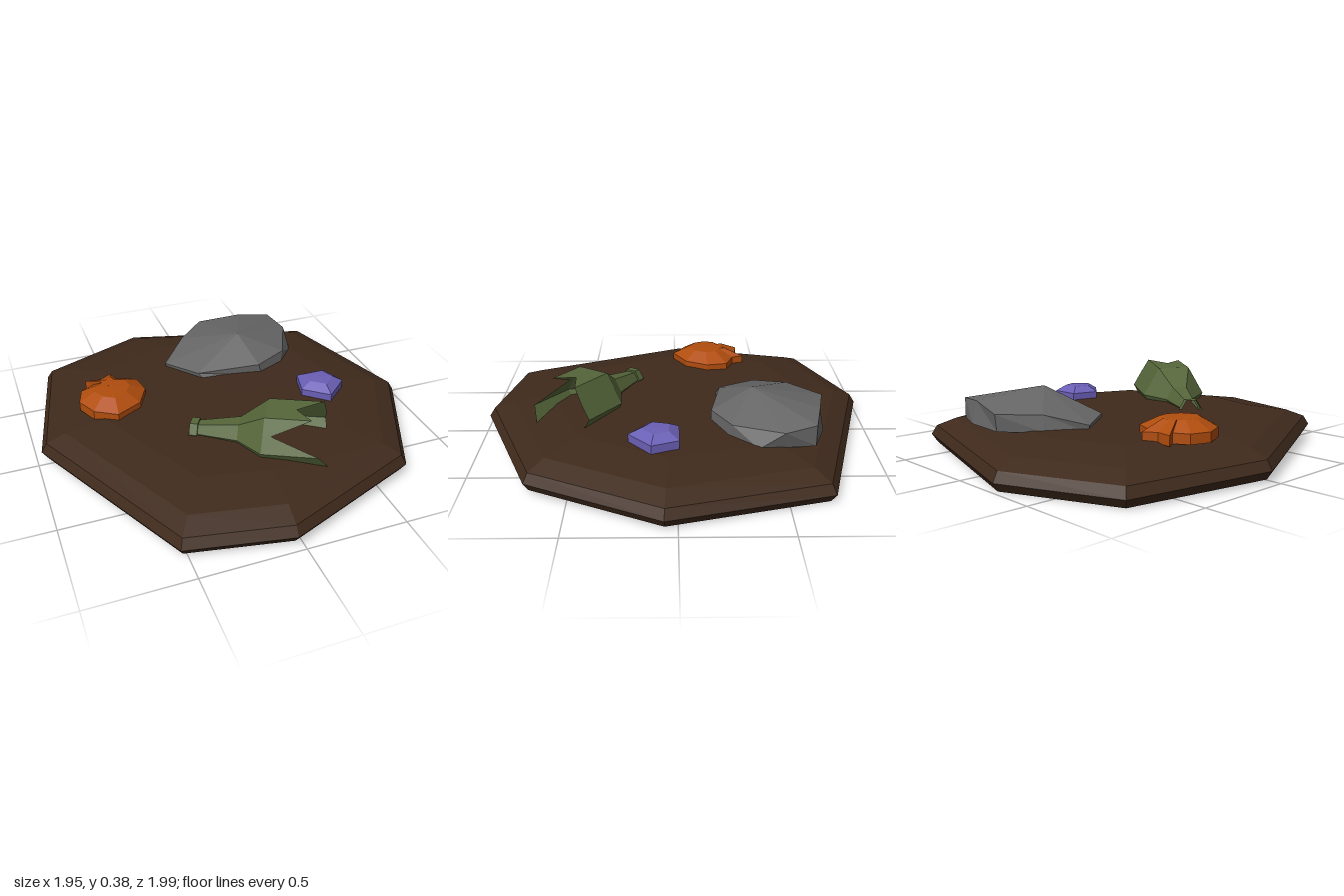
import * as THREE from 'three';

// Skin a stack of closed rings (lists of [x, y, z]), with an optional apex closing the last ring
function loft(name, color, rings, apex) {
  const n = rings[0].length;
  const points = rings.flat();
  const index = [];
  for (let r = 0; r < rings.length - 1; r++) {
    for (let i = 0; i < n; i++) {
      const j = (i + 1) % n;
      const a = r * n + i, b = r * n + j, c = b + n, d = a + n;
      index.push(a, d, c, a, c, b);
    }
  }
  if (apex) {
    const top = (rings.length - 1) * n;
    points.push(apex);
    for (let i = 0; i < n; i++) index.push(top + i, points.length - 1, top + ((i + 1) % n));
  }
  const geometry = new THREE.BufferGeometry();
  geometry.setAttribute('position', new THREE.Float32BufferAttribute(points.flat(), 3));
  geometry.setIndex(index);
  const flat = geometry.toNonIndexed();
  flat.computeVertexNormals();
  const material = new THREE.MeshStandardMaterial({ color, flatShading: true, side: THREE.DoubleSide });
  const mesh = new THREE.Mesh(flat, material);
  mesh.name = name;
  return mesh;
}

// Scale an [x, z] outline about a centre at a given height, tilted along z
function ring(outline, [cx, cz], scale, y, tilt = 0) {
  return outline.map(([x, z]) => {
    const pz = cz + (z - cz) * scale;
    return [cx + (x - cx) * scale, y + tilt * pz, pz];
  });
}

// Low mound of earth, hollow underneath
function createMound() {
  const outline = [[-0.26, -1], [0.75, -0.71], [0.97, 0.06], [0.67, 0.7],
    [-0.04, 0.99], [-0.54, 0.89], [-0.975, -0.03], [-0.82, -0.76]];
  const profile = [[0.97, 0.015], [1, 0.058], [0.97, 0.105], [0.87, 0.145], [0.66, 0.182]];
  const rings = profile.map(([s, y]) => ring(outline, [0, 0], s, y, 0.014));
  return loft('dirtMound', 0x3f2a1c, rings, [0, 0.203, 0]);
}

// Faceted boulder half sunk in the earth
function createRock() {
  const base = [[0.1, -0.73], [0.34, -0.71], [0.5, -0.65], [0.53, -0.38], [0.41, -0.24],
    [0.27, -0.17], [-0.04, -0.19], [-0.2, -0.42], [-0.07, -0.58]].map(([x, z]) => [x, 0.165, z]);
  const shoulder = [[0.1, 0.25, -0.74], [0.33, 0.28, -0.69], [0.5, 0.27, -0.65], [0.54, 0.25, -0.5],
    [0.43, 0.24, -0.26], [0.25, 0.235, -0.17], [-0.08, 0.215, -0.23], [-0.21, 0.2, -0.42], [-0.06, 0.25, -0.58]];
  return loft('rock', 0x666666, [base, shoulder], [0.2, 0.337, -0.37]);
}

// Bent cap with two raised corners
function createCap() {
  const outline = [[-0.53, -0.39], [-0.51, -0.33], [-0.41, -0.29], [-0.39, -0.18], [-0.45, -0.06], [-0.58, 0.01],
    [-0.69, -0.06], [-0.74, -0.17], [-0.71, -0.27], [-0.64, -0.31], [-0.67, -0.36], [-0.59, -0.35]];
  const c = [-0.565, -0.17];
  const rings = [[1, 0.168], [1, 0.217], [0.52, 0.262]].map(([s, y]) => ring(outline, c, s, y));
  return loft('bottleCap', 0xb04d0e, rings, [c[0], 0.266, c[1]]);
}

// Five-sided pebble
function createPebble() {
  const outline = [[0.405, -0.01], [0.56, -0.01], [0.61, 0.12], [0.49, 0.23], [0.37, 0.13]];
  const c = [0.488, 0.095];
  const rings = [[1, 0.18], [1, 0.226], [0.55, 0.257]].map(([s, y]) => ring(outline, c, s, y));
  return loft('pebble', 0x6a5fb5, rings, [c[0], 0.259, c[1]]);
}

// Six-sided bottle on its side, with a jagged broken end
function createBottle() {
  const start = [-0.27, 0.198, 0.225];
  const along = [0.85, 0.53];
  // hexagon with a mid-point on every edge
  const section = (radius, lengths) => Array.from({ length: 12 }, (_, k) => {
    const angle = -k * Math.PI / 6;
    const r = k % 2 ? radius * Math.cos(Math.PI / 6) : radius;
    const s = Array.isArray(lengths) ? lengths[k] : lengths;
    const side = r * Math.cos(angle);
    return [
      start[0] + along[0] * s + along[1] * side,
      start[1] + 0.06 * s + r * Math.sin(angle),
      start[2] + along[1] * s - along[0] * side,
    ];
  });
  const brokenEdge = [0.64, 0.65, 0.66, 0.64, 0.66, 0.68, 0.64, 0.41, 0.59, 0.51, 0.63, 0.64];
  return loft('brokenBottle', 0x56663a, [
    section(0.056, 0), section(0.056, 0.04), section(0.045, 0.04),
    section(0.075, 0.24), section(0.17, 0.37), section(0.17, brokenEdge),
  ]);
}

export function createModel() {
  const group = new THREE.Group();
  group.name = 'litteredMound';
  group.add(createMound(), createRock(), createCap(), createPebble(), createBottle());
  return group;
}
